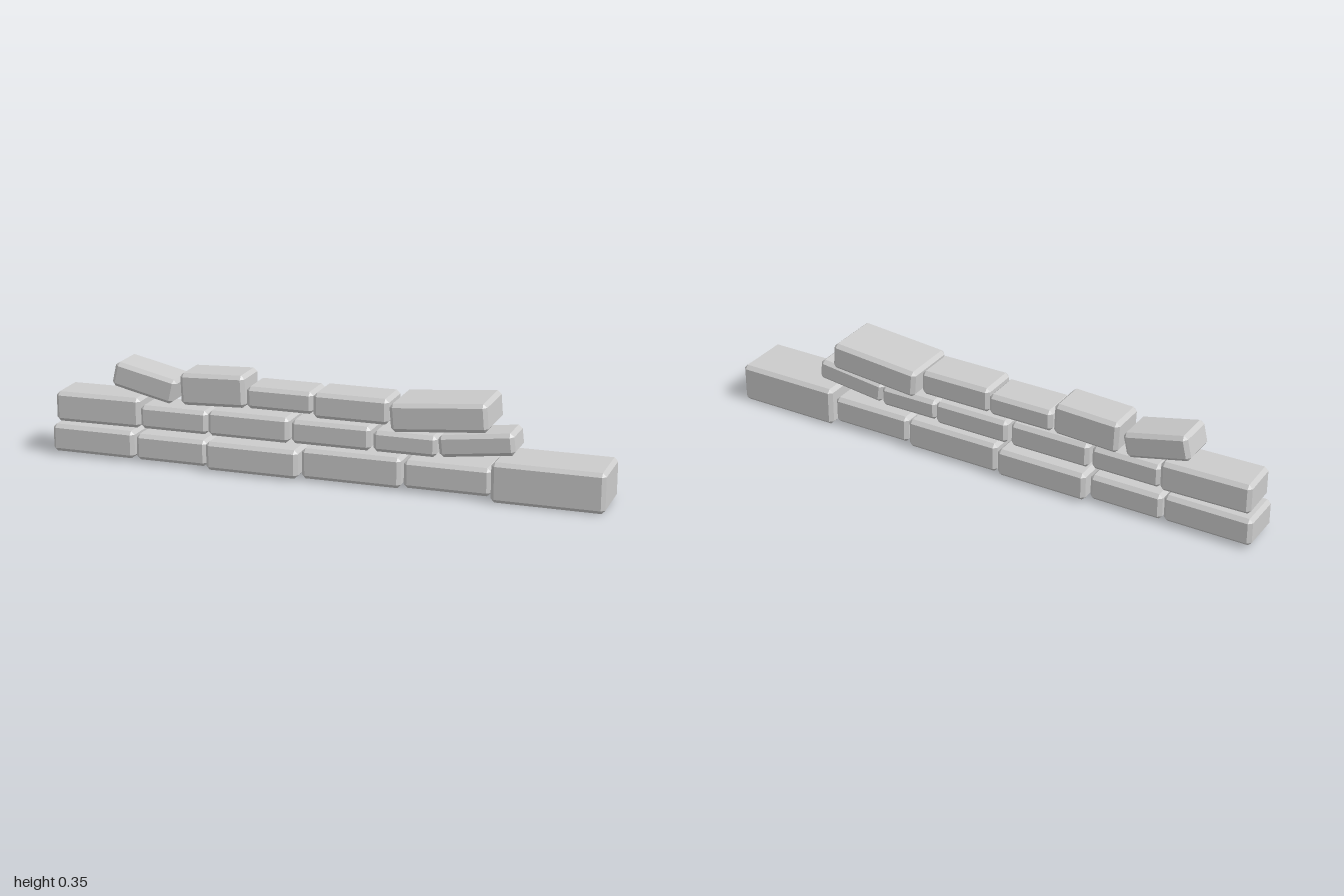
import * as THREE from 'three';
import { ConvexGeometry } from 'three/addons/geometries/ConvexGeometry.js';

const material = new THREE.MeshStandardMaterial({ color: 0xcccccc, flatShading: true });

// Box with every edge and corner bevelled: three inset points per corner
function chamferedBox(w, h, d, c = 0.013) {
  const points = [];
  for (const sx of [-1, 1]) for (const sy of [-1, 1]) for (const sz of [-1, 1]) {
    const x = w / 2, y = h / 2, z = d / 2;
    points.push(
      new THREE.Vector3(sx * x, sy * (y - c), sz * (z - c)),
      new THREE.Vector3(sx * (x - c), sy * y, sz * (z - c)),
      new THREE.Vector3(sx * (x - c), sy * (y - c), sz * z)
    );
  }
  return new ConvexGeometry(points);
}

// Each brick: centre x, centre y, centre z, width, height, depth, tilt, yaw
const courses = {
  bottomCourse: [
    [-0.842, 0.06, -0.002, 0.315, 0.1, 0.165, 0, 0],
    [-0.545, 0.055, -0.005, 0.267, 0.094, 0.16, 0, 0],
    [-0.235, 0.057, -0.003, 0.338, 0.102, 0.208, 0, 0],
    [0.12, 0.06, -0.007, 0.355, 0.108, 0.18, 0, 0],
    [0.458, 0.06, -0.003, 0.303, 0.098, 0.17, 0, 0],
    [0.807, 0.07, 0, 0.385, 0.14, 0.21, 0, 0],
  ],
  middleCourse: [
    [-0.825, 0.176, -0.003, 0.32, 0.108, 0.155, 0, 0.025],
    [-0.537, 0.163, -0.005, 0.253, 0.084, 0.14, 0, 0],
    [-0.255, 0.168, -0.005, 0.298, 0.09, 0.16, 0, 0],
    [0.047, 0.169, -0.005, 0.284, 0.084, 0.17, 0, 0],
    [0.308, 0.163, 0, 0.223, 0.074, 0.15, 0, 0],
    [0.554, 0.18, 0, 0.262, 0.076, 0.138, 0.12, 0],
  ],
  topCourse: [
    [-0.653, 0.283, -0.02, 0.235, 0.09, 0.146, -0.225, 0],
    [-0.396, 0.278, -0.022, 0.24, 0.114, 0.146, 0.04, 0],
    [-0.148, 0.266, -0.022, 0.242, 0.078, 0.146, 0, 0],
    [0.115, 0.266, -0.005, 0.268, 0.09, 0.152, 0, 0],
    [0.432, 0.272, 0, 0.337, 0.098, 0.21, 0.085, 0],
  ],
};

export function createModel() {
  const wall = new THREE.Group();
  wall.name = 'brickWall';
  for (const [name, bricks] of Object.entries(courses)) {
    const course = new THREE.Group();
    course.name = name;
    bricks.forEach(([x, y, z, w, h, d, tilt, yaw], i) => {
      const brick = new THREE.Mesh(chamferedBox(w, h, d), material);
      brick.name = `brick${i + 1}`;
      brick.position.set(x, y, z);
      brick.rotation.set(0, yaw, tilt);
      course.add(brick);
    });
    wall.add(course);
  }
  return wall;
}
